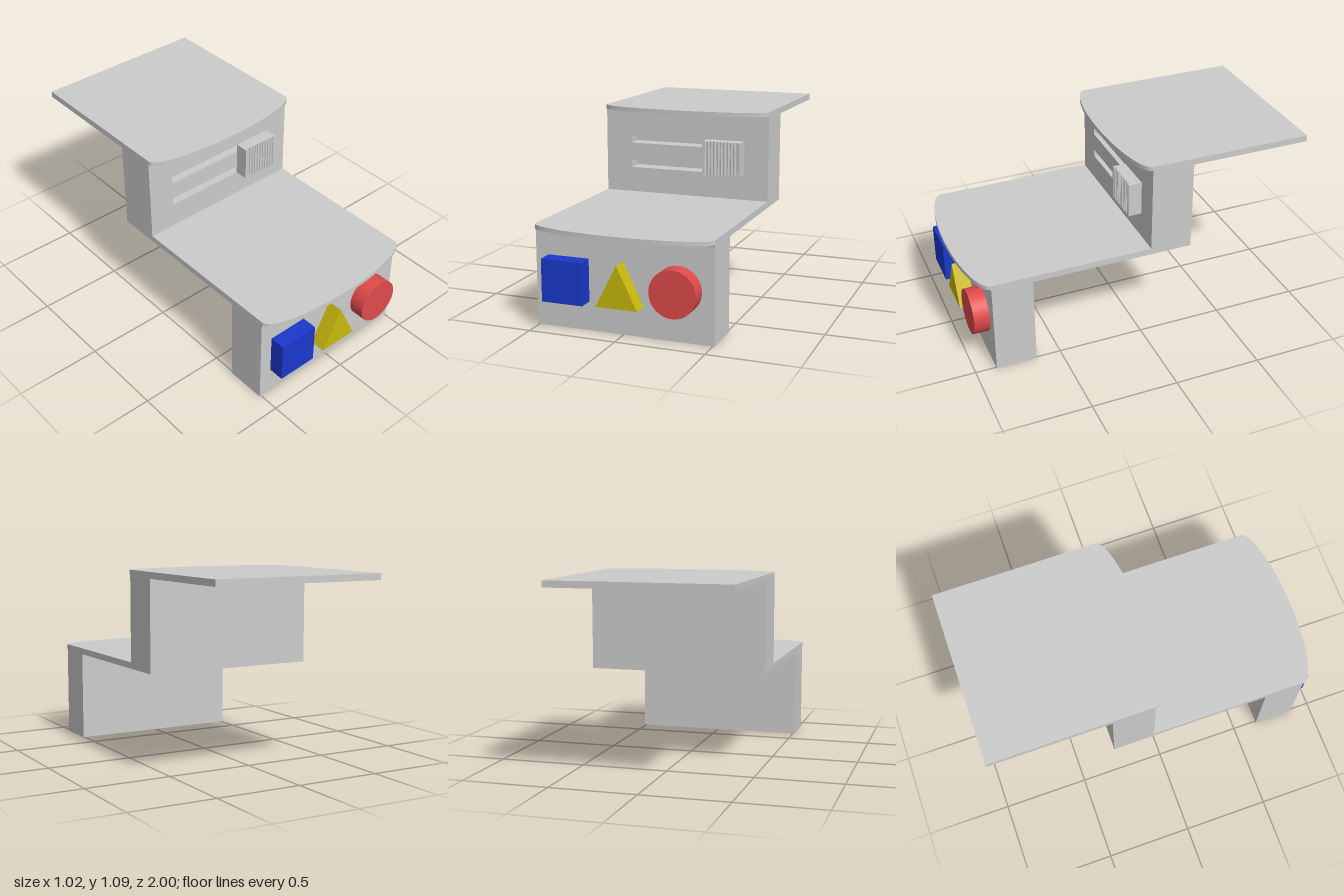
import * as THREE from 'three';

const W = 0.51; // half width

function makeMesh(name, geometry, color = 0xcccccc) {
  const mesh = new THREE.Mesh(geometry, new THREE.MeshStandardMaterial({ color }));
  mesh.name = name;
  return mesh;
}

function polygon(points) {
  return new THREE.Shape(points.map(([x, y]) => new THREE.Vector2(x, y)));
}

function extrude(shape, depth, curveSegments = 48) {
  return new THREE.ExtrudeGeometry(shape, { depth, bevelEnabled: false, curveSegments });
}

// Extrudes an (x, z) outline downwards from the height top
function slab(shape, top, depth) {
  return extrude(shape, depth).rotateX(Math.PI / 2).translate(0, top, 0);
}

// Bowed front lip of a tread
function lip(name, top, z, reach) {
  const shape = new THREE.Shape();
  shape.moveTo(-W, z);
  shape.lineTo(W, z);
  shape.absellipse(0, z, W, reach, 0, Math.PI, false);
  return makeMesh(name, slab(shape, top, 0.024));
}

export function createModel() {
  const model = new THREE.Group();

  // Stepped body: (z, y) side profile, with room for the slotted panel
  const profile = new THREE.Shape();
  profile.moveTo(0.645, 0);
  profile.lineTo(0.88, 0);
  profile.lineTo(0.88, 0.525);
  profile.quadraticCurveTo(0.88, 0.545, 0.895, 0.545);
  profile.lineTo(0.88, 0.567);
  for (const [z, y] of [[-0.15, 0.567], [-0.15, 1.055], [-0.053, 1.055], [-0.053, 1.092],
    [-1, 1.092], [-1, 1.055], [-0.297, 1.055], [-0.297, 0.53], [0.645, 0.53]]) profile.lineTo(z, y);
  model.add(makeMesh('steppedBody', extrude(profile, 2 * W, 8).rotateY(-Math.PI / 2).translate(W, 0, 0)));

  model.add(lip('lowerTreadLip', 0.567, 0.88, 0.12));
  model.add(lip('upperTreadLip', 1.092, -0.053, 0.11));

  // Panel with two long slots
  const panel = polygon([[-W, 0.567], [W, 0.567], [W, 1.055], [-W, 1.055]]);
  for (const y of [0.716, 0.866]) {
    panel.holes.push(polygon([[-0.352, y], [-0.352, y + 0.043], [0.352, y + 0.043], [0.352, y]]));
  }
  model.add(makeMesh('slottedPanel', extrude(panel, 0.097).translate(0, 0, -0.15)));

  // Sliding knob with a ribbed grip face
  const grip = new THREE.Shape();
  const x0 = 0.132, x1 = 0.364, ribs = 10, margin = 0.014;
  const pitch = (x1 - x0 - 2 * margin) / ribs;
  grip.moveTo(x0, -0.054);
  grip.lineTo(x1, -0.054);
  grip.lineTo(x1, 0.026);
  for (let i = ribs - 1; i >= 0; i--) {
    const cx = x0 + margin + (i + 0.5) * pitch;
    const r = pitch * 0.4;
    grip.lineTo(cx + r, 0.026);
    for (let k = 1; k <= 8; k++) {
      const a = (k / 8) * Math.PI;
      grip.lineTo(cx + r * Math.cos(a), 0.026 - r * Math.sin(a));
    }
  }
  grip.lineTo(x0, 0.026);
  model.add(makeMesh('slidingKnob', slab(grip, 0.915, 0.2)));

  // Raised coloured shapes on the front
  const depth = 0.09;
  model.add(makeMesh('blueSquare',
    new THREE.BoxGeometry(0.237, 0.238, depth).translate(-0.317, 0.281, 0.88 + depth / 2), 0x1a38cc));
  model.add(makeMesh('yellowTriangle',
    extrude(polygon([[-0.121, 0.169], [0.116, 0.169], [0, 0.405]]), depth).translate(0, 0, 0.88), 0xc8ba0c));
  model.add(makeMesh('redDisc',
    new THREE.CylinderGeometry(0.13, 0.13, depth, 48).rotateX(Math.PI / 2).translate(0.31, 0.283, 0.88 + depth / 2), 0xe04a4a));

  return model;
}
